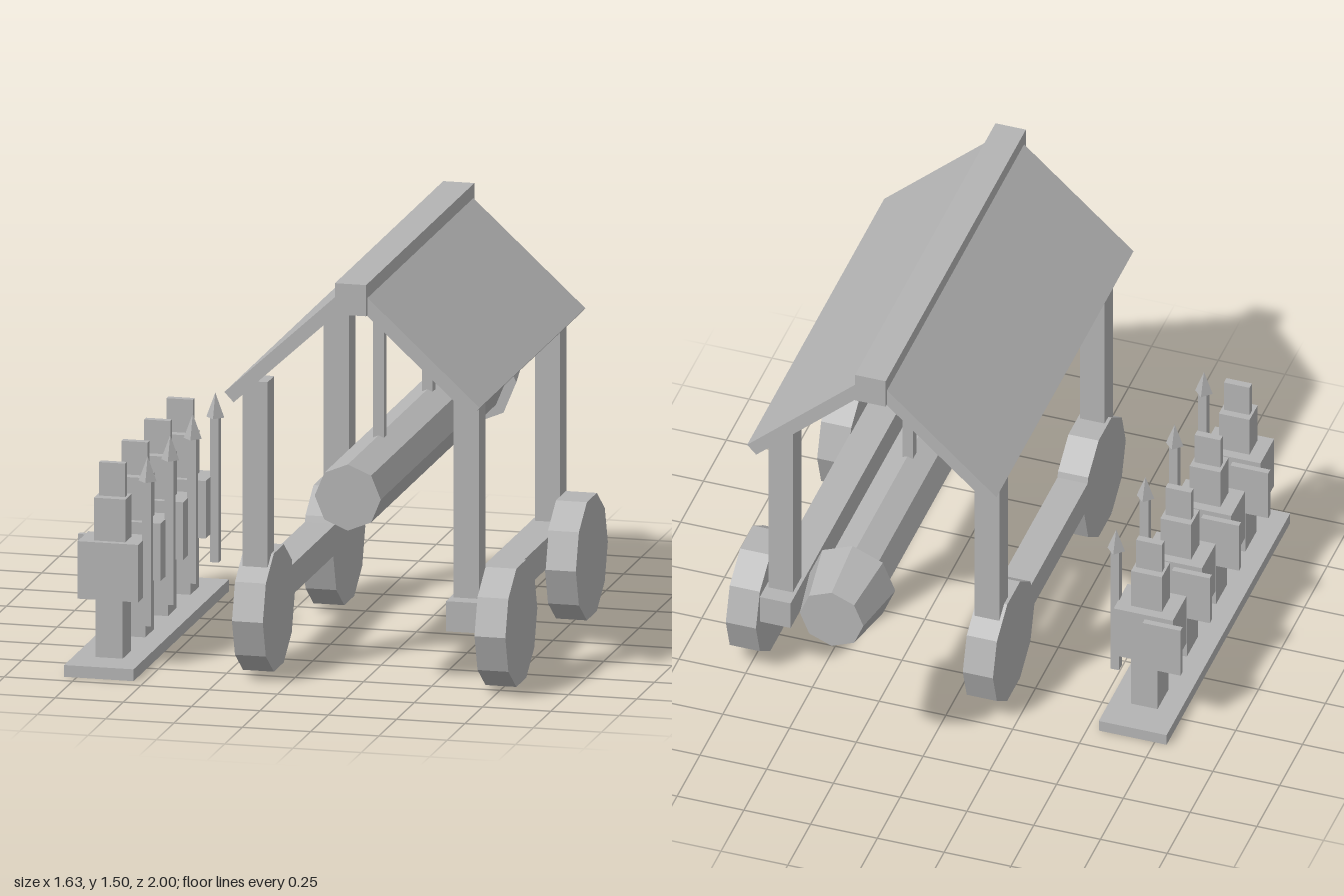
import * as THREE from 'three';

const stone = new THREE.MeshStandardMaterial({ color: 0xb4b4b4, flatShading: true, side: THREE.DoubleSide });
stone.name = 'plain grey';

function add(parent, name, geometry, x = 0, y = 0, z = 0) {
  const mesh = new THREE.Mesh(geometry, stone);
  mesh.name = name;
  mesh.position.set(x, y, z);
  parent.add(mesh);
  return mesh;
}

// Box given by its extents on each axis
function box(parent, name, [x0, x1], [y0, y1], [z0, z1]) {
  return add(parent, name, new THREE.BoxGeometry(x1 - x0, y1 - y0, z1 - z0),
    (x0 + x1) / 2, (y0 + y1) / 2, (z0 + z1) / 2);
}

const CX = 0.257; // centre line of the ram

function createRoof() {
  const roof = new THREE.Group();
  roof.name = 'roof';
  box(roof, 'ridgeBeam', [CX - 0.057, CX + 0.057], [1.39, 1.504], [-0.575, 0.96]);
  // Sloping panels, drawn as a slanted cross-section and mirrored
  for (const s of [-1, 1]) {
    const section = new THREE.Shape([
      [0.467, 1.076], [0.049, 1.46], [0.015, 1.424], [0.433, 1.04],
    ].map(([x, y]) => new THREE.Vector2(s * x, y)));
    const panel = new THREE.ExtrudeGeometry(section, { depth: 1.5, bevelEnabled: false });
    add(roof, s < 0 ? 'rightRoofPanel' : 'leftRoofPanel', panel, CX, 0, -0.56);
  }
  return roof;
}

function createFrame() {
  const frame = new THREE.Group();
  frame.name = 'frame';
  const wheel = new THREE.CylinderGeometry(0.227, 0.227, 0.113, 10).rotateZ(Math.PI / 2);
  // A decagon with corners pointing forwards and backwards
  const sides = [
    { name: 'right', post: [-0.175, -0.083], beam: [-0.187, -0.074], wheelX: -0.1305 },
    { name: 'left', post: [0.598, 0.69], beam: [0.585, 0.703], wheelX: 0.757 },
  ];
  for (const side of sides) {
    box(frame, side.name + 'Beam', side.beam, [0.237, 0.347], [-0.49, 0.88]);
    for (const z of [0.772, -0.38])
      box(frame, side.name + 'Post', side.post, [0.29, 1.09], [z - 0.047, z + 0.047]);
    for (const z of [0.695, -0.305])
      add(frame, side.name + 'Wheel', wheel, side.wheelX, 0.236, z);
  }
  return frame;
}

function createRam() {
  const ram = new THREE.Group();
  ram.name = 'ram';
  // Octagonal log and its tapered head
  const log = new THREE.CylinderGeometry(0.121, 0.121, 1.77, 8).rotateX(Math.PI / 2);
  add(ram, 'log', log, CX, 0.734, 0.115);
  const head = new THREE.CylinderGeometry(0.16, 0.119, 0.23, 8).rotateX(Math.PI / 2);
  add(ram, 'ramHead', head, CX, 0.734, -0.885);
  // Hangers between the ridge and the log
  for (const z of [0.543, -0.15])
    box(ram, 'hanger', [0.237, 0.276], [0.84, 1.4], [z - 0.02, z + 0.02]);
  return ram;
}

function createSoldier(z) {
  const soldier = new THREE.Group();
  soldier.name = 'soldier';
  soldier.position.z = z;
  box(soldier, 'legs', [-0.716, -0.617], [0.043, 0.256], [-0.06, 0.06]);
  box(soldier, 'torso', [-0.778, -0.557], [0.256, 0.466], [-0.075, 0.075]);
  box(soldier, 'head', [-0.725, -0.61], [0.466, 0.622], [-0.04, 0.05]);
  box(soldier, 'crest', [-0.716, -0.62], [0.622, 0.744], [-0.013, 0.014]);
  box(soldier, 'shield', [-0.817, -0.675], [0.251, 0.452], [-0.104, -0.081]);
  box(soldier, 'spearShaft', [-0.56, -0.528], [0.153, 0.68], [-0.026, 0.006]);
  add(soldier, 'spearTip', new THREE.ConeGeometry(0.033, 0.09, 4), -0.544, 0.725, -0.01);
  return soldier;
}

function createSoldiers() {
  const troop = new THREE.Group();
  troop.name = 'soldiers';
  // Hollow stand, open underneath
  const stand = box(troop, 'stand', [-0.795, -0.541], [0, 0.043], [-0.408, 0.945]);
  const index = Array.from(stand.geometry.index.array);
  index.splice(18, 6);
  stand.geometry.setIndex(index);
  stand.geometry.clearGroups();
  for (let i = 0; i < 4; i++) troop.add(createSoldier(-0.216 + i * 0.32));
  return troop;
}

export function createModel() {
  const model = new THREE.Group();
  model.name = 'coveredRamWithSoldiers';
  model.add(createRoof(), createFrame(), createRam(), createSoldiers());
  return model;
}
